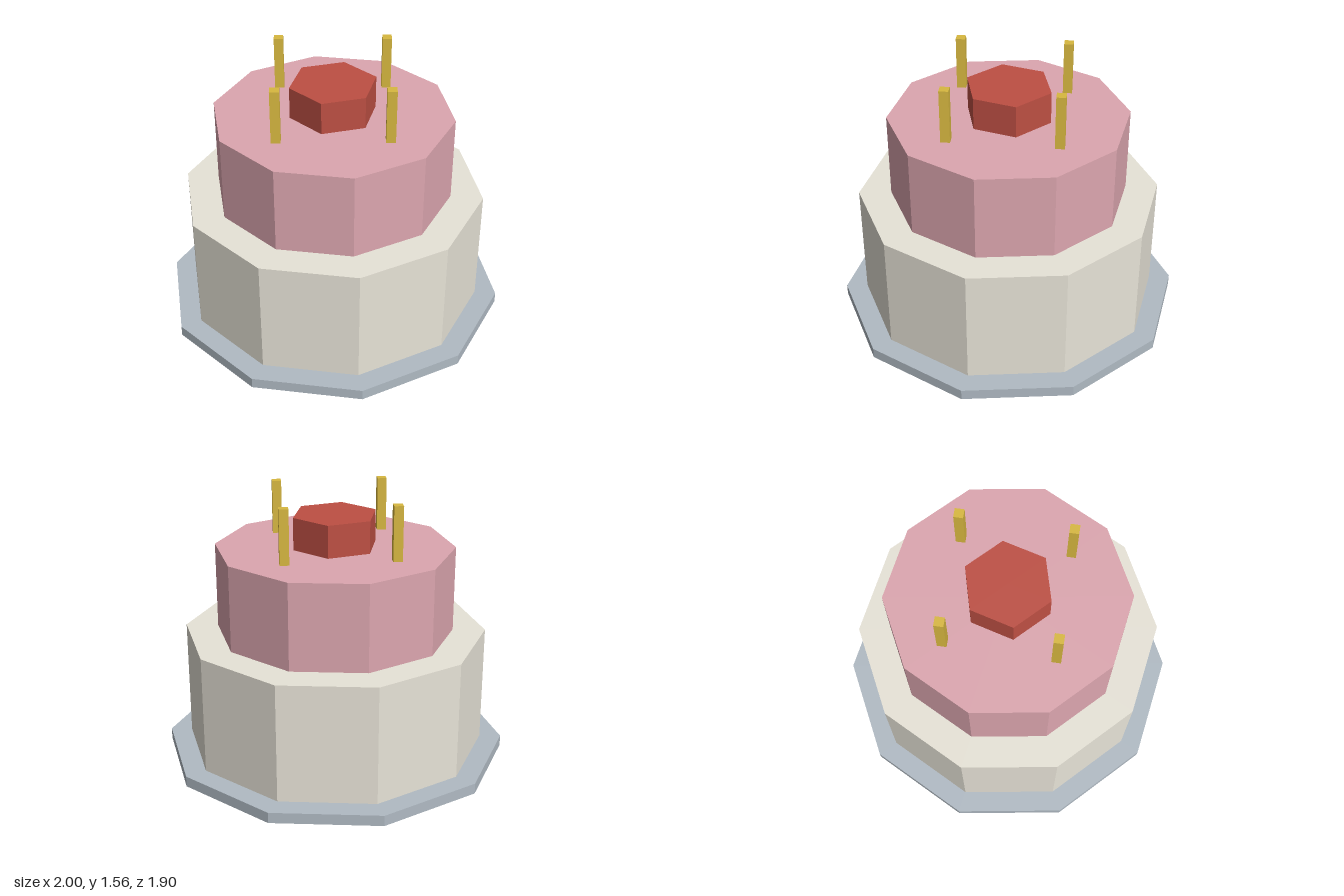
import * as THREE from 'three';

const material = (name, color) => {
  const m = new THREE.MeshStandardMaterial({ color, flatShading: true });
  m.name = name;
  return m;
};

export function createModel() {
  const cake = new THREE.Group();
  cake.name = 'tieredCake';

  const slate = material('plate grey', 0xb0bac3);
  const cream = material('cream icing', 0xe8e4d8);
  const pink = material('pink icing', 0xdca6af);
  const red = material('cherry red', 0xbd4f43);
  const gold = material('candle gold', 0xd8b840);

  // Upright prism with a corner on the x axis, spanning bottom to top
  const addPrism = (name, mat, sides, radius, bottom, top, x = 0, z = 0) => {
    const geometry = new THREE.CylinderGeometry(
      radius, radius, top - bottom, sides, 1, false, Math.PI / 2);
    const mesh = new THREE.Mesh(geometry, mat);
    mesh.name = name;
    mesh.position.set(x, (top + bottom) / 2, z);
    cake.add(mesh);
  };

  // Plate and stacked tiers
  addPrism('plate', slate, 10, 1, 0, 0.0625);
  addPrism('lowerTier', cream, 10, 0.875, 0.0625, 0.75);
  addPrism('upperTier', pink, 10, 0.6875, 0.75, 1.25);
  addPrism('topDecoration', red, 6, 0.25, 1.25, 1.4375);

  // Four candles around the top decoration
  const ring = 0.4375;
  [['leftCandle', 1, 0], ['frontCandle', 0, 1], ['rightCandle', -1, 0], ['backCandle', 0, -1]]
    .forEach(([name, x, z]) => addPrism(name, gold, 4, 0.0375, 1.25, 1.5625, x * ring, z * ring));

  return cake;
}
